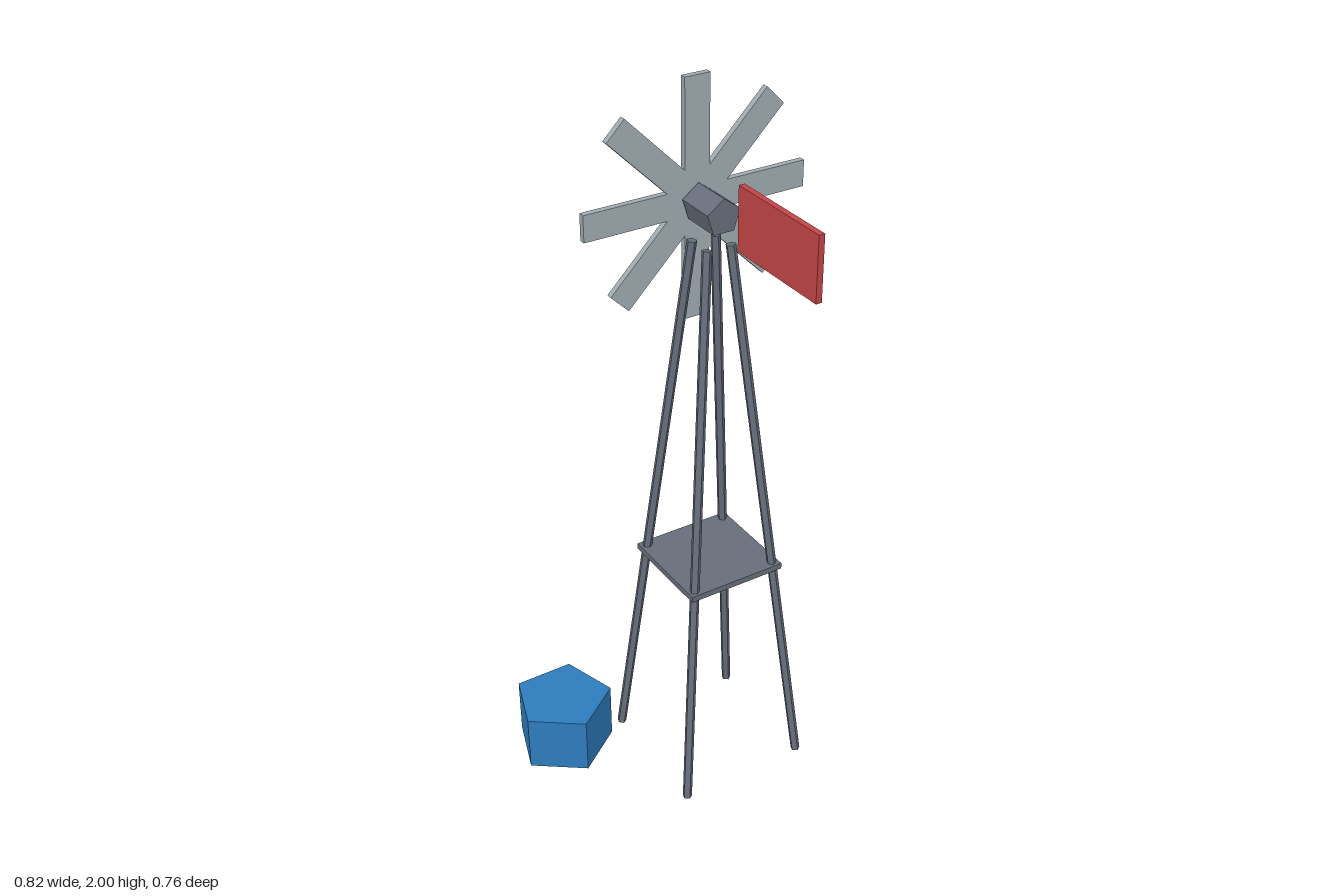
import * as THREE from 'three';

const mat = (name, color) => {
  const m = new THREE.MeshStandardMaterial({ color, flatShading: true });
  m.name = name;
  return m;
};

export function createModel() {
  const steel = mat('dark steel', 0x676e7b);
  const paleSteel = mat('pale steel', 0xa0abb1);
  const red = mat('red paint', 0xc44545);
  const blue = mat('blue paint', 0x2d7cbd);

  const model = new THREE.Group();
  model.name = 'windPump';
  const tower = new THREE.Group();
  tower.name = 'tower';
  tower.position.set(0.095, 0, -0.065);
  model.add(tower);

  const add = (parent, name, geometry, material, x, y, z) => {
    const mesh = new THREE.Mesh(geometry, material);
    mesh.name = name;
    mesh.position.set(x, y, z);
    parent.add(mesh);
    return mesh;
  };

  // Four five-sided legs leaning in towards the top
  const up = new THREE.Vector3(0, 1, 0);
  for (const sx of [-1, 1]) {
    for (const sz of [-1, 1]) {
      const foot = new THREE.Vector3(sx * 0.186, 0.003, sz * 0.186);
      const head = new THREE.Vector3(sx * 0.034, 1.602, sz * 0.034);
      const dir = head.clone().sub(foot);
      const mid = foot.clone().add(head).multiplyScalar(0.5);
      const leg = add(tower, 'leg', new THREE.CylinderGeometry(0.0135, 0.0135, dir.length(), 5),
        steel, mid.x, mid.y, mid.z);
      leg.quaternion.setFromUnitVectors(up, dir.normalize());
    }
  }

  // Platform between the legs
  add(tower, 'platform', new THREE.BoxGeometry(0.285, 0.017, 0.285), steel, 0, 0.66, 0);

  // Five-sided hub lying along z, one edge up
  const hub = add(tower, 'hub', new THREE.CylinderGeometry(0.0485, 0.0485, 0.113, 5),
    steel, 0, 1.687, -0.0015);
  hub.rotation.x = -Math.PI / 2;

  // Rotor: eight straight blades in one flat outline
  const halfWidth = 0.035, reach = 0.313;
  const root = halfWidth / Math.tan(Math.PI / 8);
  const outline = [];
  for (let i = 0; i < 8; i++) {
    const a = (i * Math.PI) / 4;
    for (const [r, w] of [[root, -halfWidth], [reach, -halfWidth], [reach, halfWidth]]) {
      outline.push(new THREE.Vector2(r, w).rotateAround(new THREE.Vector2(), a));
    }
  }
  const rotor = new THREE.ExtrudeGeometry(new THREE.Shape(outline), { depth: 0.017, bevelEnabled: false });
  add(tower, 'rotor', rotor, paleSteel, 0, 1.687, -0.0805);

  // Tail vane
  add(tower, 'tailVane', new THREE.BoxGeometry(0.016, 0.167, 0.314), red, 0, 1.715, 0.284);

  // Five-sided water tank on the ground
  add(model, 'waterTank', new THREE.CylinderGeometry(0.1417, 0.1417, 0.171, 5), blue, -0.276, 0.089, -0.266);

  return model;
}
